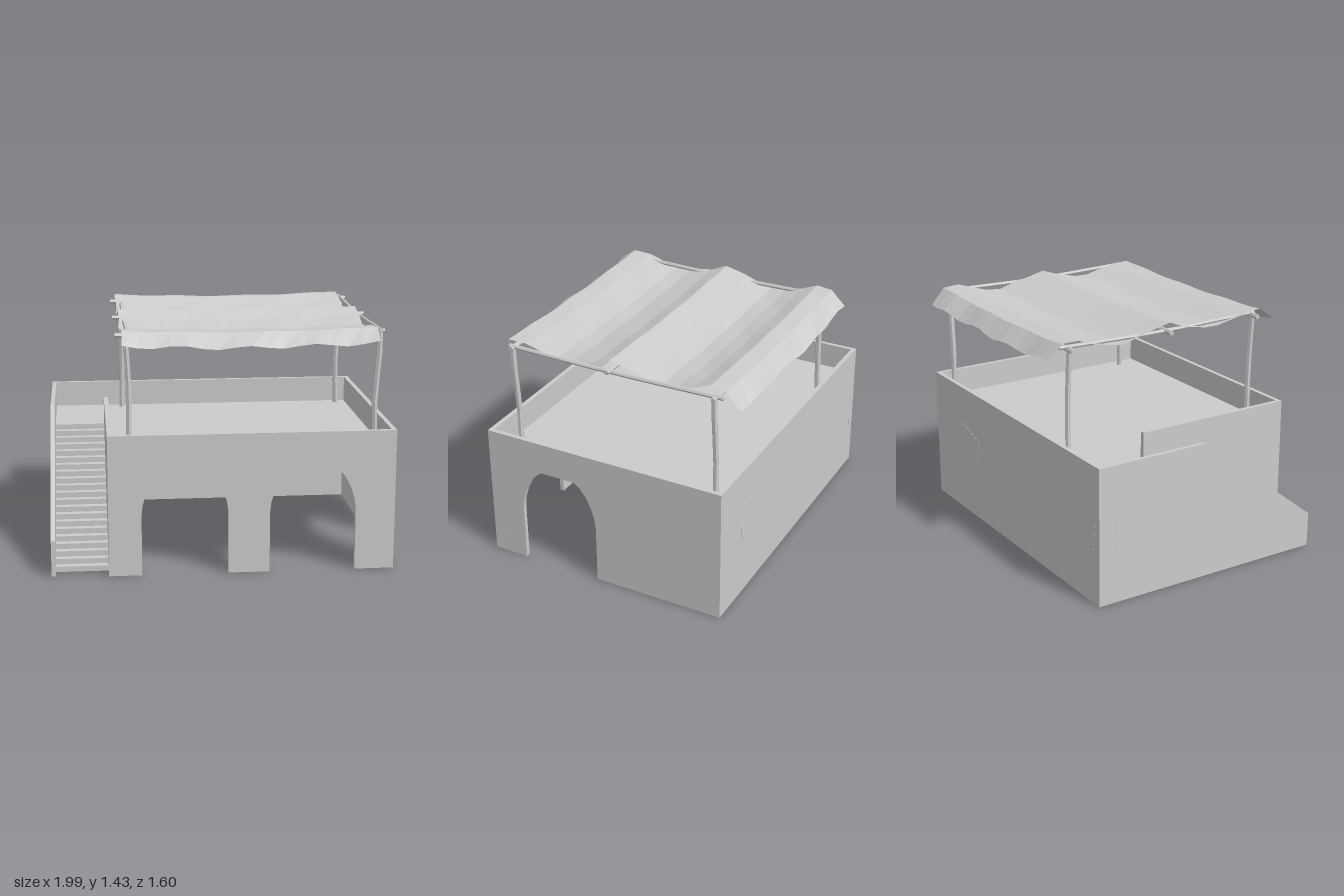
import * as THREE from 'three';

const mat = new THREE.MeshStandardMaterial({ color: 0xcccccc, flatShading: true });
const thin = new THREE.MeshStandardMaterial({ color: 0xcccccc, flatShading: true, side: THREE.DoubleSide });
const H = 0.83, T = 0.027, DECK = 0.67;

export function createModel() {
  const model = new THREE.Group();
  const add = (name, geo, material = mat, parent = model) => {
    const m = new THREE.Mesh(geo, material);
    m.name = name;
    parent.add(m);
    return m;
  };
  const box = (name, x0, x1, y0, y1, z0, z1) => {
    const g = new THREE.BoxGeometry(x1 - x0, y1 - y0, z1 - z0);
    g.translate((x0 + x1) / 2, (y0 + y1) / 2, (z0 + z1) / 2);
    return add(name, g);
  };
  const shapeOf = pts => new THREE.Shape(pts.map(p => new THREE.Vector2(...p)));
  const slab = (pts, depth = T) => new THREE.ExtrudeGeometry(shapeOf(pts), { depth, bevelEnabled: false });

  // Wall outline with arched doorways cut up from the ground
  const half = [[0.25, 0], [0.25, 0.36], [0.243, 0.42], [0.222, 0.49], [0.187, 0.56], [0.15, 0.605], [0.11, 0.635]];
  const archedWall = (a, b, centres) => {
    const pts = [[a, 0]];
    for (const c of centres) {
      half.forEach(([x, y]) => pts.push([c - x, y]));
      [...half].reverse().forEach(([x, y]) => pts.push([c + x, y]));
    }
    return slab([...pts, [b, 0], [b, H], [a, H]]);
  };

  // Walls
  add('frontWall', archedWall(-0.665, 0.99, [-0.23, 0.51])).position.z = 0.8 - T;
  const side = add('archedSideWall', archedWall(-0.73, 0.8, [0.33]));
  side.rotation.y = -Math.PI / 2;
  side.position.x = 0.99;
  box('backWall', -1, 0.99, 0, H, -0.73, -0.73 + T);
  box('stairInnerWall', -0.67, -0.67 + T, 0, H, -0.22, 0.8);
  const outer = add('stairOuterWall', slab([[-0.73, 0], [0.77, 0], [0.77, 0.21], [-0.02, H], [-0.73, H]], 0.025));
  outer.rotation.y = -Math.PI / 2;
  outer.position.x = -0.975;

  // Roof deck, landing and the wall closing the space under the landing
  box('roofDeck', -0.66, 0.97, DECK - 0.015, DECK, -0.71, 0.78);
  box('stairLanding', -0.98, -0.65, DECK - 0.015, DECK, -0.71, -0.17);
  box('landingWall', -0.98, -0.66, 0, DECK - 0.01, -0.2, -0.172);

  // Stair flight: a folded strip of risers and treads
  const steps = 21, rise = DECK / steps, run = 0.87 / (steps - 1);
  const line = [[0.7, 0]];
  for (let i = 0; i < steps; i++) {
    line.push([0.7 - i * run, (i + 1) * rise]);
    if (i < steps - 1) line.push([0.7 - (i + 1) * run, (i + 1) * rise]);
  }
  const stairs = new THREE.PlaneGeometry(1, 1, 1, line.length - 1);
  line.forEach(([z, y], i) => {
    stairs.attributes.position.setXYZ(i * 2, -0.98, y, z);
    stairs.attributes.position.setXYZ(i * 2 + 1, -0.66, y, z);
  });
  // the strip runs from the bottom up, so turn its faces over
  stairs.setIndex([...stairs.index.array].reverse());
  stairs.computeVertexNormals();
  add('stairs', stairs, thin);

  // Rough wooden poles
  const pole = (name, pts, r) => {
    const v = pts.map(p => new THREE.Vector3(...p));
    const g = new THREE.Group();
    g.name = name;
    add(name + 'Shaft', new THREE.TubeGeometry(new THREE.CatmullRomCurve3(v), 5, r, 6), mat, g);
    for (const [end, next] of [[v[0], v[1]], [v.at(-1), v.at(-2)]]) {
      const cap = add(name + 'End', new THREE.CircleGeometry(r, 6), mat, g);
      cap.position.copy(end);
      cap.lookAt(end.clone().multiplyScalar(2).sub(next));
    }
    model.add(g);
  };
  for (const x of [-0.55, 0.9]) {
    for (const z of [-0.65, 0.63]) {
      const s = Math.sign(x);
      pole('canopyPost', [[x - 0.005 * s, DECK, z], [x - 0.012 * s, 1.0, z + 0.004], [x + 0.006, 1.2, z + 0.006], [x + 0.008 * s, 1.39, z + 0.008]], 0.018);
    }
    pole('canopySideRail', [[x + 0.01, 1.385, -0.7], [x + 0.004, 1.372, 0], [x + 0.01, 1.385, 0.66]], 0.012);
  }
  for (const [z, x1] of [[-0.65, 0.945], [0.01, 0.935], [0.635, 0.935]]) {
    pole('canopyCrossbar', [[-0.612, 1.375, z], [0.15, 1.37, z + 0.005], [x1, 1.378, z]], 0.015);
  }

  // Cloth canopy: draped over the bars, sagging between, hem hanging at both ends
  const drape = [[-0.79, 1.325], [-0.7, 1.415], [-0.6, 1.425], [-0.5, 1.385], [-0.4, 1.36], [-0.3, 1.352],
    [-0.2, 1.375], [-0.1, 1.4], [0.02, 1.43], [0.12, 1.39], [0.27, 1.358], [0.37, 1.358], [0.45, 1.375],
    [0.57, 1.4], [0.68, 1.41], [0.77, 1.335]];
  const cols = 16, cloth = new THREE.PlaneGeometry(1, 1, cols, drape.length - 1);
  drape.forEach(([z, y], j) => {
    const hem = j === 0 || j === drape.length - 1;
    for (let i = 0; i <= cols; i++) {
      const u = i / cols * 2 - 1;
      const edge = Math.abs(u) === 1 ? 0.006 * Math.sin(j * 2.3) : 0;
      const ripple = hem ? 0.011 * Math.sin(i * 1.5 + j) : 0.003 * Math.sin(i * 1.3 + j * 2);
      cloth.attributes.position.setXYZ(j * (cols + 1) + i, 0.152 + 0.73 * u + edge,
        y - 0.018 * (1 - u * u) + ripple, z + (hem ? 0.008 * Math.sin(i * 0.8 + j) : 0));
    }
  });
  cloth.computeVertexNormals();
  add('clothCanopy', cloth, thin);

  // Flaked plaster patch on the back wall
  const patch = add('plasterPatch', slab([[0.614, 0.59], [0.56, 0.57], [0.405, 0.53], [0.446, 0.37], [0.54, 0.34],
    [0.656, 0.18], [0.756, 0.26], [0.706, 0.37], [0.731, 0.475], [0.63, 0.525]], 0.003));
  patch.position.z = -0.732;

  // Fine cracks, drawn upright then turned onto their wall
  const crack = (x, y, z, h, turn) => {
    const path = [[0, 0], [0.012, 0.3], [0.004, 0.45], [0.022, 0.75], [0.016, 1]];
    const right = path.map(([a, b], i) => [a + 0.005 * (1 - i / 5), b * h]).reverse();
    const m = add('wallCrack', slab([...right, ...path.map(([a, b]) => [a, b * h])], 0.002));
    m.position.set(x, y, z);
    m.rotation.y = turn;
  };
  crack(0.2, 0, 0.799, 0.25, 0);
  crack(0.93, 0, 0.799, 0.12, 0);
  crack(0.989, 0, 0.75, 0.14, Math.PI / 2);
  crack(-0.93, 0.2, -0.729, 0.3, Math.PI);
  crack(-0.999, 0.14, -0.64, 0.36, -Math.PI / 2);
  return model;
}
